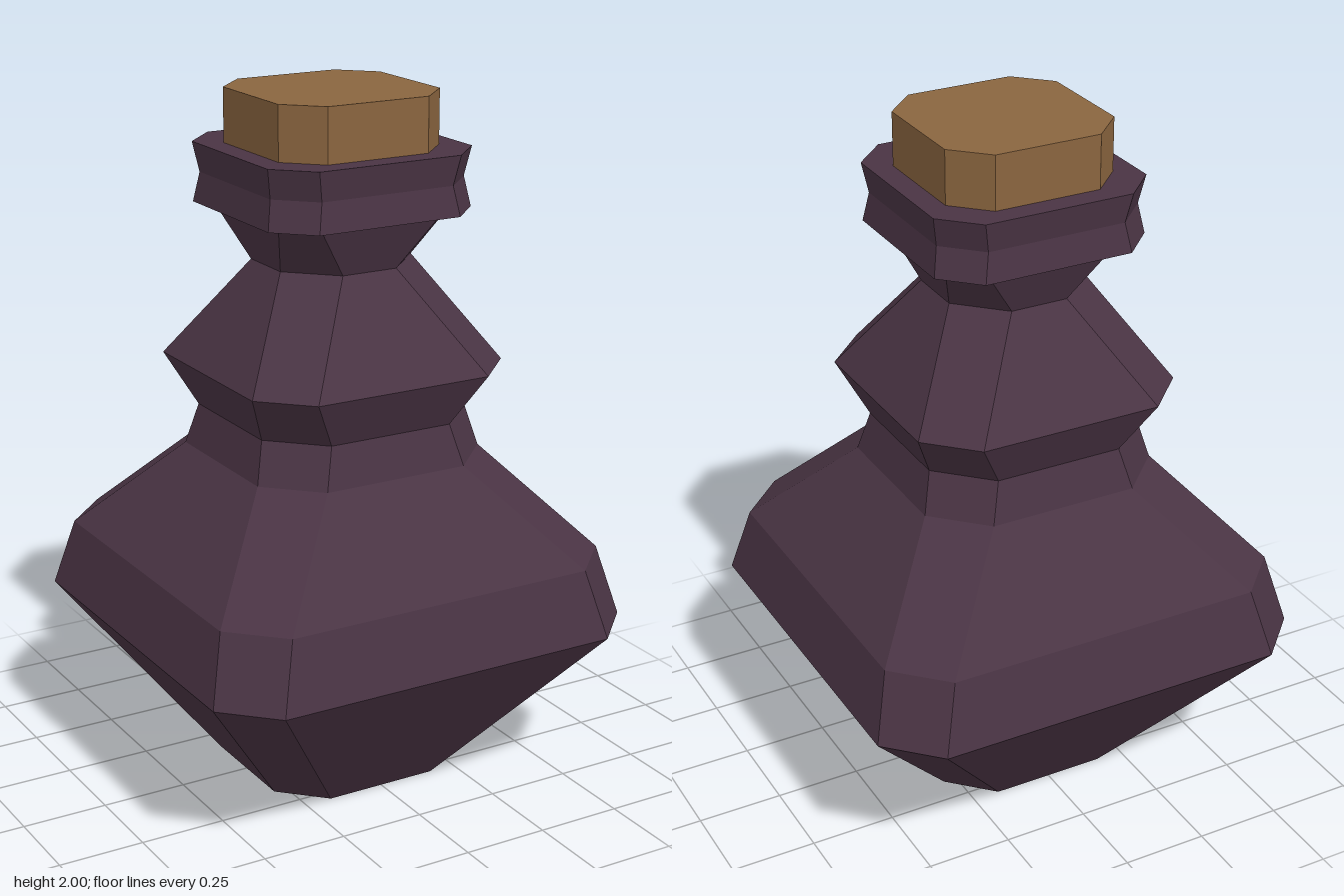
import * as THREE from 'three';

// Ring of eight corners: a square of half-size h whose flat sides run to +-f
function ring([y, h, f]) {
  return [[f, h], [h, f], [h, -f], [f, -h], [-f, -h], [-h, -f], [-h, f], [-f, h]]
    .map(([x, z]) => [x, y, z]);
}

// Stack rings [y, h, f] from bottom to top into a closed faceted solid
function stack(levels) {
  const rings = levels.map(ring);
  const pos = [];
  const tri = (a, b, c) => pos.push(...a, ...b, ...c);
  for (let i = 0; i < rings.length - 1; i++) {
    const lo = rings[i], hi = rings[i + 1];
    for (let j = 0; j < 8; j++) {
      const k = (j + 1) % 8;
      tri(lo[j], lo[k], hi[k]);
      tri(lo[j], hi[k], hi[j]);
    }
  }
  const bottom = rings[0], top = rings[rings.length - 1];
  for (let j = 1; j < 7; j++) {
    tri(bottom[0], bottom[j + 1], bottom[j]);
    tri(top[0], top[j], top[j + 1]);
  }
  const geo = new THREE.BufferGeometry();
  geo.setAttribute('position', new THREE.Float32BufferAttribute(pos, 3));
  geo.computeVertexNormals();
  return geo;
}

export function createModel() {
  const group = new THREE.Group();
  group.name = 'bottle';
  const glass = new THREE.MeshStandardMaterial({ color: 0x4a3444, flatShading: true });
  glass.name = 'dark plum glass';
  const corkMat = new THREE.MeshStandardMaterial({ color: 0x8a653f, flatShading: true });
  corkMat.name = 'cork brown';

  const add = (name, material, levels) => {
    const mesh = new THREE.Mesh(stack(levels), material);
    mesh.name = name;
    group.add(mesh);
  };

  // Belly, collar, neck and lip in one continuous profile
  add('bottleBody', glass, [
    [0, 0.29, 0.17],
    [0.49, 0.66, 0.52],
    [0.69, 0.61, 0.47],
    [0.97, 0.36, 0.22],
    [1.09, 0.33, 0.19],
    [1.235, 0.4, 0.27],
    [1.525, 0.21, 0.085],
    [1.67, 0.27, 0.185],
    [1.675, 0.32, 0.22],
    [1.76, 0.305, 0.205],
    [1.845, 0.32, 0.22],
  ]);

  // Stopper resting in the lip
  add('cork', corkMat, [
    [1.8, 0.253, 0.157],
    [2, 0.253, 0.157],
  ]);

  return group;
}
